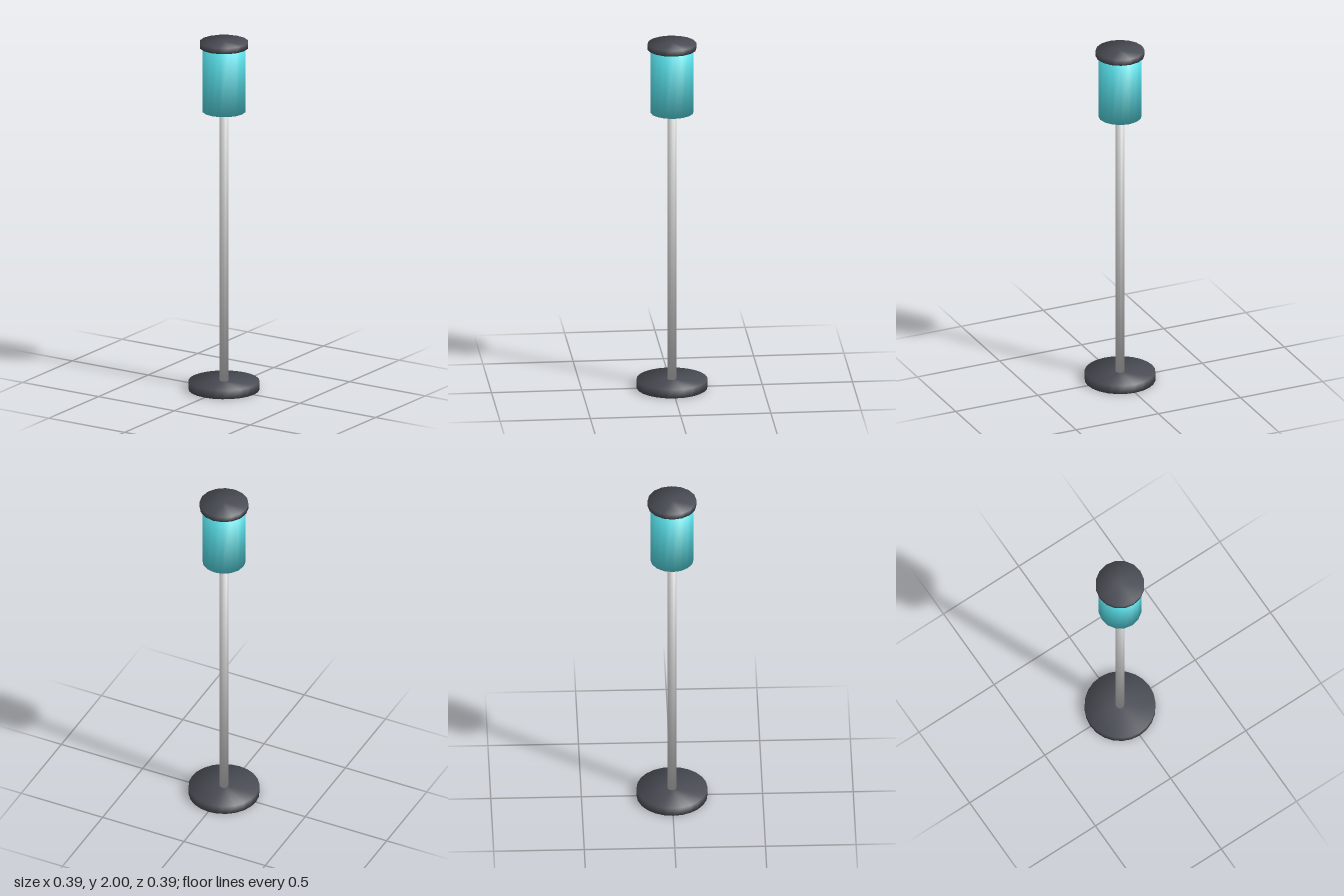
import * as THREE from 'three';

// Closed cylinder between two heights, with normals running softly over the rims.
function softCylinder(name, radius, y0, y1, sides, color) {
  const geometry = new THREE.CylinderGeometry(radius, radius, y1 - y0, sides);
  const { position, normal } = geometry.attributes;
  const n = new THREE.Vector3();
  for (let i = 0; i < position.count; i++) {
    n.set(position.getX(i) / radius, Math.sign(position.getY(i)), position.getZ(i) / radius).normalize();
    normal.setXYZ(i, n.x, n.y, n.z);
  }
  geometry.translate(0, (y0 + y1) / 2, 0);
  const mesh = new THREE.Mesh(geometry, new THREE.MeshStandardMaterial({ color }));
  mesh.name = name;
  return mesh;
}

export function createModel() {
  const dark = 0x4a4d55;
  const group = new THREE.Group();
  group.name = 'floorLamp';
  group.add(
    softCylinder('base', 0.196, 0, 0.05, 24, dark),
    softCylinder('pole', 0.024, 0.04, 1.61, 12, 0xcccccc),
    softCylinder('shade', 0.12, 1.6, 1.97, 16, 0x55dce6),
    softCylinder('cap', 0.135, 1.967, 2, 16, dark),
  );
  return group;
}
